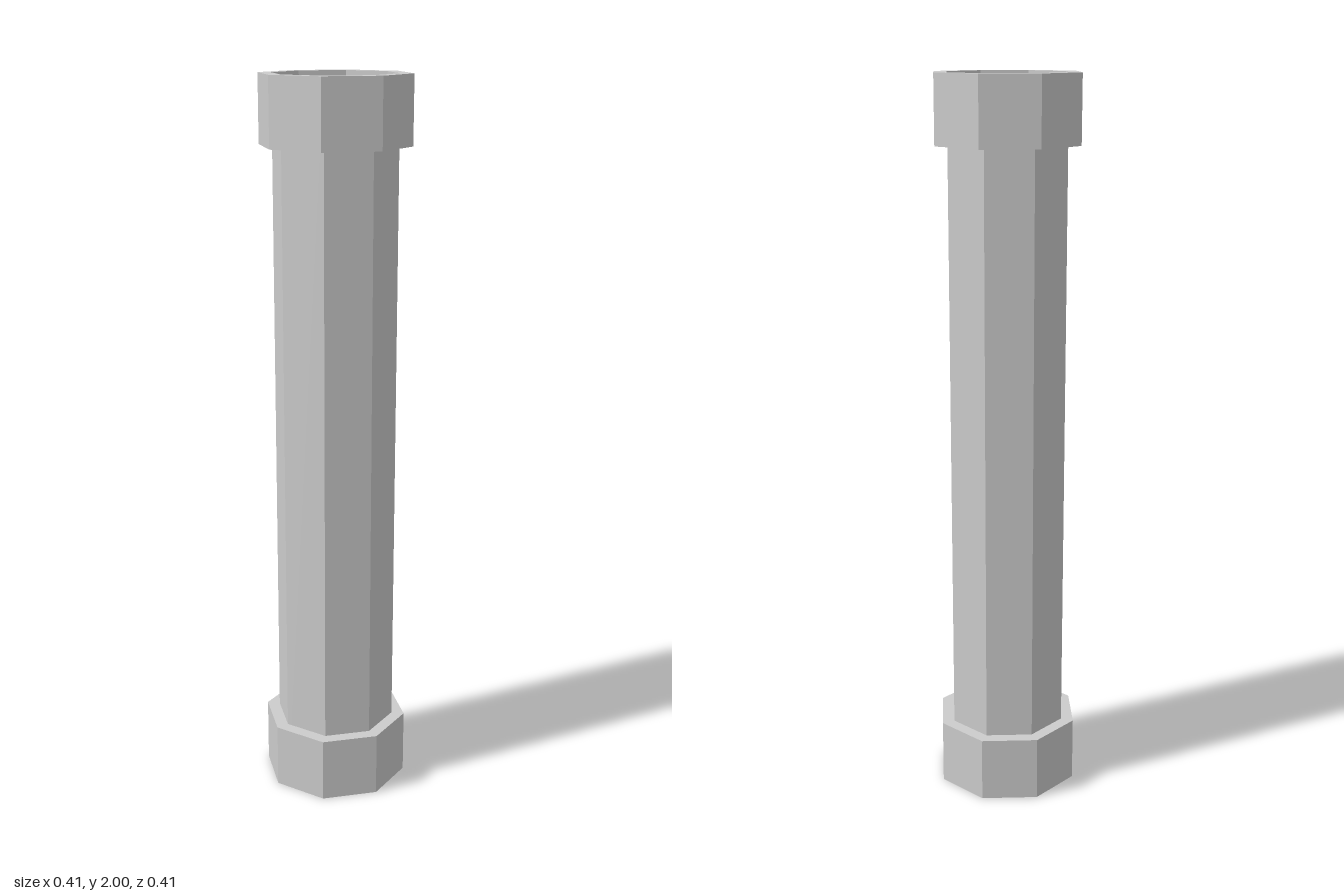
import * as THREE from 'three';

const SIDES = 8;
const HEIGHT = 2;
const TUBE_RADIUS = 0.168;
const COLLAR_RADIUS = 0.204;
const COLLAR_HEIGHT = 0.182;

export function createModel() {
  const group = new THREE.Group();
  group.name = 'pipe';
  const material = new THREE.MeshStandardMaterial({
    color: 0xcccccc, flatShading: true, side: THREE.DoubleSide,
  });

  // Open, thin-walled octagonal tube; its ends also line the collars
  const tube = new THREE.Mesh(
    new THREE.CylinderGeometry(TUBE_RADIUS, TUBE_RADIUS, HEIGHT, SIDES, 1, true), material);
  tube.name = 'tube';
  tube.position.y = HEIGHT / 2;
  group.add(tube);

  // Collar: lower rim, outer wall, upper rim
  const profile = [
    [TUBE_RADIUS, 0], [COLLAR_RADIUS, 0],
    [COLLAR_RADIUS, COLLAR_HEIGHT], [TUBE_RADIUS, COLLAR_HEIGHT],
  ].map(([r, y]) => new THREE.Vector2(r, y));
  const collarGeometry = new THREE.LatheGeometry(profile, SIDES);

  for (const [name, y] of [['bottomCollar', 0], ['topCollar', HEIGHT - COLLAR_HEIGHT]]) {
    const collar = new THREE.Mesh(collarGeometry, material);
    collar.name = name;
    collar.position.y = y;
    group.add(collar);
  }
  return group;
}
